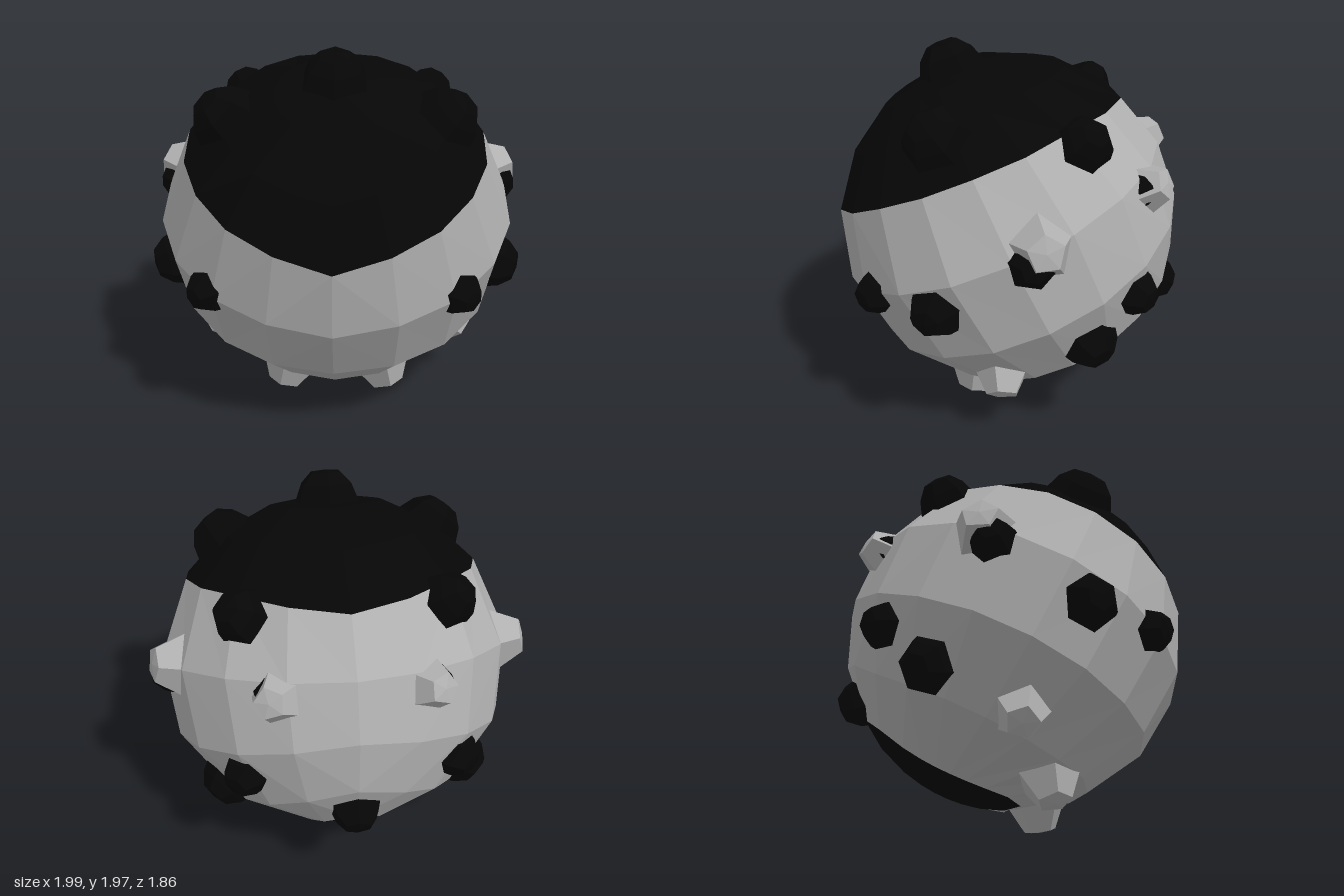
import * as THREE from 'three';

const gray = new THREE.MeshStandardMaterial({ color: 0xb0b0b0 });
gray.name = 'stone gray';
const black = new THREE.MeshStandardMaterial({ color: 0x060606 });
black.name = 'black';

const CENTER = new THREE.Vector3(0, 0.98, 0.015);
const RADII = new THREE.Vector3(0.95, 0.898, 0.918);
const SEGMENTS = 18;
const rad = THREE.MathUtils.degToRad;

// The shell is built in rings around an axis tilted 25 degrees to the front
const axis = new THREE.Vector3(0, Math.cos(rad(25)), Math.sin(rad(25)));
const fore = new THREE.Vector3(0, -Math.sin(rad(25)), Math.cos(rad(25)));
const side = new THREE.Vector3(1, 0, 0);

// Edge of the dark cap, in degrees from the axis, front to back
const capEdge = [62, 58.5, 56.5, 55, 55, 55.5, 57, 58.5, 62, 65];
const capAngle = j => capEdge[Math.min(j % SEGMENTS, SEGMENTS - j % SEGMENTS)];

// Edge of the long oval patch underneath, in degrees from the opposite pole
function patchAngle(j) {
  const phi = j / SEGMENTS * Math.PI * 2;
  const long = Math.cos(phi) > 0 ? 27 : 35;
  return 180 - 1 / Math.hypot(Math.cos(phi) / long, Math.sin(phi) / 14);
}

function shellPoint(theta, j) {
  const t = rad(theta), phi = j / SEGMENTS * Math.PI * 2;
  return axis.clone().multiplyScalar(Math.cos(t))
    .addScaledVector(fore, Math.sin(t) * Math.cos(phi))
    .addScaledVector(side, Math.sin(t) * Math.sin(phi))
    .multiply(RADII).add(CENTER);
}

// Faceted zone between two edges given as functions of the segment
function zone(name, from, to, rows, material) {
  const pos = [];
  const add = (...pts) => pts.forEach(p => pos.push(p.x, p.y, p.z));
  const at = (i, j) => shellPoint(THREE.MathUtils.lerp(from(j), to(j), i / rows), j);
  for (let i = 0; i < rows; i++) {
    for (let j = 0; j < SEGMENTS; j++) {
      const a = at(i, j), b = at(i + 1, j), c = at(i + 1, j + 1), d = at(i, j + 1);
      if (a.distanceTo(d) < 1e-5) add(a, b, c);
      else if (b.distanceTo(c) < 1e-5) add(a, b, d);
      else if (j < SEGMENTS / 2) add(a, b, c, a, c, d);
      else add(a, b, d, b, c, d);
    }
  }
  const geo = new THREE.BufferGeometry();
  geo.setAttribute('position', new THREE.Float32BufferAttribute(pos, 3));
  geo.computeVertexNormals();
  const mesh = new THREE.Mesh(geo, material);
  mesh.name = name;
  return mesh;
}

// Faceted knob whose tip lies at distance 0 along its own y
function knobGeometry(profile, sides) {
  const pts = profile.map(([r, y]) => new THREE.Vector2(r, y));
  const geo = new THREE.LatheGeometry(pts, sides).toNonIndexed();
  geo.computeVertexNormals();
  return geo;
}
const roundKnob = knobGeometry([[0.165, -0.2], [0.12, -0.07], [0.07, -0.01], [0, 0]], 6);
const bluntKnob = knobGeometry([[0.18, -0.2], [0.085, -0.01], [0, 0]], 5);

function knob(name, [x, y, z], tip, geo, material, size = 1) {
  const dir = new THREE.Vector3(x, y, z).normalize();
  const mesh = new THREE.Mesh(geo, material);
  mesh.name = name;
  mesh.quaternion.setFromUnitVectors(new THREE.Vector3(0, 1, 0), dir);
  mesh.position.copy(CENTER).addScaledVector(dir, tip);
  mesh.scale.set(size, 1, size);
  return mesh;
}

export function createModel() {
  const model = new THREE.Group();
  model.name = 'studdedBall';

  model.add(
    zone('darkCap', () => 0, capAngle, 3, black),
    zone('body', capAngle, patchAngle, 4, gray),
    zone('bottomPatch', patchAngle, () => 180, 2, black)
  );

  // Knobs on the centre line
  model.add(knob('topKnob', [0, 0.94, 0.34], 1.03, roundKnob, black, 1.2));
  model.add(knob('backKnob', [0, -0.38, -0.87], 1.01, roundKnob, black));

  // Mirrored knobs: name, direction, tip distance, shape, colour, width
  const pairs = [
    ['capFrontKnob', [0.64, 0.72, 0.34], 1.04, roundKnob, black, 1.25],
    ['capBackKnob', [0.56, 0.67, -0.45], 1.02, roundKnob, black, 1.05],
    ['frontKnob', [0.66, -0.18, 0.65], 1.0, roundKnob, black, 0.9],
    ['sideKnob', [0.9, -0.15, 0.3], 1.02, roundKnob, black, 1.05],
    ['rearKnob', [0.58, -0.17, -0.74], 1.0, roundKnob, black, 0.95],
    ['rearLowerKnob', [0.72, -0.46, -0.53], 1.01, roundKnob, black, 1.1],
    ['sidePaleKnob', [0.95, 0.24, -0.25], 1.035, bluntKnob, gray, 1.1],
    ['sideDarkKnob', [0.96, 0.16, -0.2], 1.02, roundKnob, black, 0.95],
    ['rearPaleKnob', [0.41, 0.38, -0.81], 1.0, bluntKnob, gray, 0.95],
    ['rearDarkKnob', [0.42, 0.37, -0.76], 0.97, roundKnob, black, 0.75],
    ['lowerFoot', [0.73, -0.72, -0.03], 1.01, bluntKnob, gray],
    ['frontFoot', [0.28, -0.9, 0.16], 1.02, bluntKnob, gray, 1.05]
  ];
  for (const [name, [x, y, z], ...rest] of pairs) {
    model.add(knob(name + 'Left', [x, y, z], ...rest));
    model.add(knob(name + 'Right', [-x, y, z], ...rest));
  }
  return model;
}
